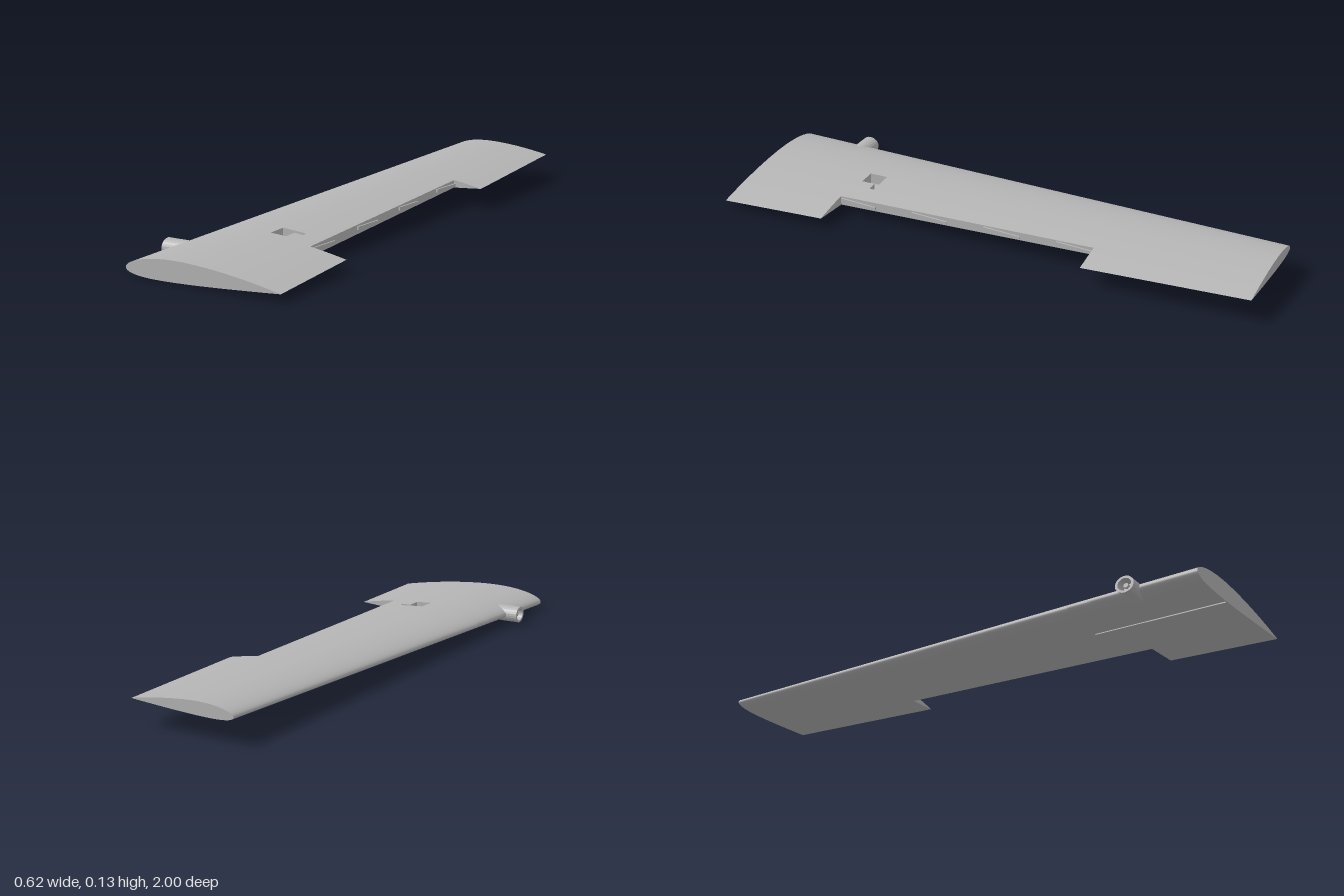
import * as THREE from 'three';

// Tapered wing: root at z = +1, tip at z = -1, leading edge towards -x
const Z_IN = 0.6, Z_OUT = -0.4, HINGE = 0.75;
const taper = (z) => (1 - z) / 2;
const chord = (z) => 0.6 - 0.21 * taper(z);
const leadX = (z) => -0.29 + 0.12 * taper(z);
const toFraction = (x, z) => (x - leadX(z)) / chord(z);

// Point on the cambered section at chord fraction f
function surfacePoint(f, z, upper) {
  const t = 0.6 * (0.2969 * Math.sqrt(f) - 0.126 * f - 0.3516 * f ** 2 + 0.2843 * f ** 3 - 0.1036 * f ** 4);
  const camber = f < 0.4 ? 0.125 * (0.8 * f - f * f) : 0.0556 * (0.2 + 0.8 * f - f * f);
  const y = 0.0262 + 0.08 * taper(z) - 0.0092 * taper(z) + chord(z) * (camber + (upper ? t : -t));
  return new THREE.Vector3(leadX(z) + chord(z) * f, y, z);
}

// Recesses sunk into the skin: chord range, span range, depth
const rect = (upper, x0, x1, z0, z1, depth) => {
  const zc = (z0 + z1) / 2;
  return { upper, f0: toFraction(x0, zc), f1: toFraction(x1, zc), z0, z1, depth };
};
const recesses = [
  rect(true, -0.02, 0.04, 0.505, 0.575, 0.04),
  rect(true, 0.04, 0.075, 0.505, 0.525, 0.02),
  rect(false, -0.079, -0.072, 0.5, 0.995, 0.008),
];

const sortedUnique = (a) => a.sort((p, q) => p - q).filter((v, i) => i === 0 || v - a[i - 1] > 1e-6);

function triangles(points) {
  const g = new THREE.BufferGeometry().setFromPoints(points);
  g.computeVertexNormals();
  return g;
}
const quad = (out, a, b, c, d) => out.push(a, b, c, a, c, d);

// Skin wrapped from upper trailing edge round the nose to lower trailing edge
function buildSkin() {
  const fr = [HINGE], zs = [Z_IN, Z_OUT];
  for (let i = 0; i <= 32; i++) fr.push((1 - Math.cos((Math.PI * i) / 32)) / 2);
  for (let i = 0; i <= 10; i++) zs.push(-1 + i * 0.2);
  for (const r of recesses) {
    fr.push(r.f0, r.f1);
    zs.push(r.z0, r.z1);
  }
  const fs = sortedUnique(fr), z = sortedUnique(zs);
  const path = [...fs].reverse().map((f) => [f, true]).concat(fs.slice(1).map((f) => [f, false]));
  const n = z.length;
  const points = [], index = [], pocket = [];
  for (const [f, up] of path) for (const zz of z) points.push(surfacePoint(f, zz, up));

  const depthAt = (i, j) => {
    if (i < 0 || j < 0 || i >= path.length - 1 || j >= n - 1) return 0;
    const f = (path[i][0] + path[i + 1][0]) / 2, zc = (z[j] + z[j + 1]) / 2;
    const up = path[i][1] && path[i + 1][1];
    const hit = recesses.find((r) => r.upper === up && f > r.f0 && f < r.f1 && zc > r.z0 && zc < r.z1);
    return hit ? hit.depth : 0;
  };

  for (let i = 0; i < path.length - 1; i++) {
    for (let j = 0; j < n - 1; j++) {
      const f = (path[i][0] + path[i + 1][0]) / 2, zc = (z[j] + z[j + 1]) / 2;
      if (f > HINGE && zc > Z_OUT && zc < Z_IN) continue;
      const ids = [i * n + j, (i + 1) * n + j, (i + 1) * n + j + 1, i * n + j + 1];
      const depth = depthAt(i, j);
      if (!depth) {
        index.push(ids[0], ids[1], ids[2], ids[0], ids[2], ids[3]);
        continue;
      }
      // Pocket floor, and walls where the neighbour is shallower
      const drop = (p, d) => p.clone().setY(p.y + (path[i][1] ? -d : d));
      const top = ids.map((k) => points[k]);
      quad(pocket, ...top.map((p) => drop(p, depth)));
      const next = [depthAt(i, j - 1), depthAt(i + 1, j), depthAt(i, j + 1), depthAt(i - 1, j)];
      next.forEach((d, k) => {
        const a = top[k], b = top[(k + 1) % 4];
        if (d < depth) quad(pocket, drop(a, d), drop(b, d), drop(b, depth), drop(a, depth));
      });
    }
  }
  const skin = new THREE.BufferGeometry().setFromPoints(points);
  skin.setIndex(index);
  skin.computeVertexNormals();
  return { skin, pocket: triangles(pocket) };
}

// Flat rib closing the section between two chord fractions
function ribGeometry(z, from, to) {
  const upper = [], lower = [];
  for (let i = 0; i <= 32; i++) {
    const f = from + ((to - from) * (1 - Math.cos((Math.PI * i) / 32))) / 2;
    upper.push(surfacePoint(f, z, true));
    lower.push(surfacePoint(f, z, false));
  }
  const outline = lower.concat(upper.reverse()).map((p) => new THREE.Vector2(p.x, p.y));
  return new THREE.ShapeGeometry(new THREE.Shape(outline)).translate(0, 0, z);
}

export function createModel() {
  const group = new THREE.Group();
  const grey = new THREE.MeshStandardMaterial({ color: 0xb4b4b4, side: THREE.DoubleSide });
  grey.name = 'light grey';
  const add = (name, geometry, parent = group) => {
    const mesh = new THREE.Mesh(geometry, grey);
    mesh.name = name;
    parent.add(mesh);
    return mesh;
  };

  const { skin, pocket } = buildSkin();
  add('wingSkin', skin);
  add('skinRecesses', pocket);

  // End faces and the two sides of the control surface cut-out
  add('rootRib', ribGeometry(1, 0, 1));
  add('tipRib', ribGeometry(-1, 0, 1));
  add('innerCutoutRib', ribGeometry(Z_IN, HINGE, 1));
  add('outerCutoutRib', ribGeometry(Z_OUT, HINGE, 1));

  // Rear spar wall along the cut-out
  const spar = [];
  quad(spar, surfacePoint(HINGE, Z_OUT, true), surfacePoint(HINGE, Z_IN, true),
    surfacePoint(HINGE, Z_IN, false), surfacePoint(HINGE, Z_OUT, false));
  add('rearSpar', triangles(spar));

  // Hinge strips on the spar
  for (const z of [-0.33, -0.05, 0.235, 0.525]) {
    const a = surfacePoint(HINGE, z, true), b = surfacePoint(HINGE, z, false);
    const strip = add('hingeStrip', new THREE.BoxGeometry(0.012, 0.012, 0.14));
    strip.position.copy(a).lerp(b, 0.5);
    strip.rotation.set(-0.04, 0.022, 0);
  }

  // Hollow nozzle through the leading edge near the root
  const nozzle = new THREE.Group();
  nozzle.name = 'nozzle';
  nozzle.position.set(-0.18, 0.036, 0.75);
  nozzle.rotation.z = Math.PI / 2;
  nozzle.scale.z = 1.15;
  group.add(nozzle);
  const lathe = (pts) => new THREE.LatheGeometry(pts.map(([r, y]) => new THREE.Vector2(r, y)), 24).toNonIndexed();
  const flat = (g) => {
    g.computeVertexNormals();
    return g;
  };
  add('nozzleTube', flat(lathe([[0, 0], [0.018, 0], [0.03, 0.05], [0.03, 0.135], [0.022, 0.135], [0.022, 0.09], [0, 0.09]])), nozzle);
  add('nozzleCore', flat(lathe([[0.008, 0.09], [0.008, 0.125], [0, 0.125]])), nozzle);
  return group;
}
